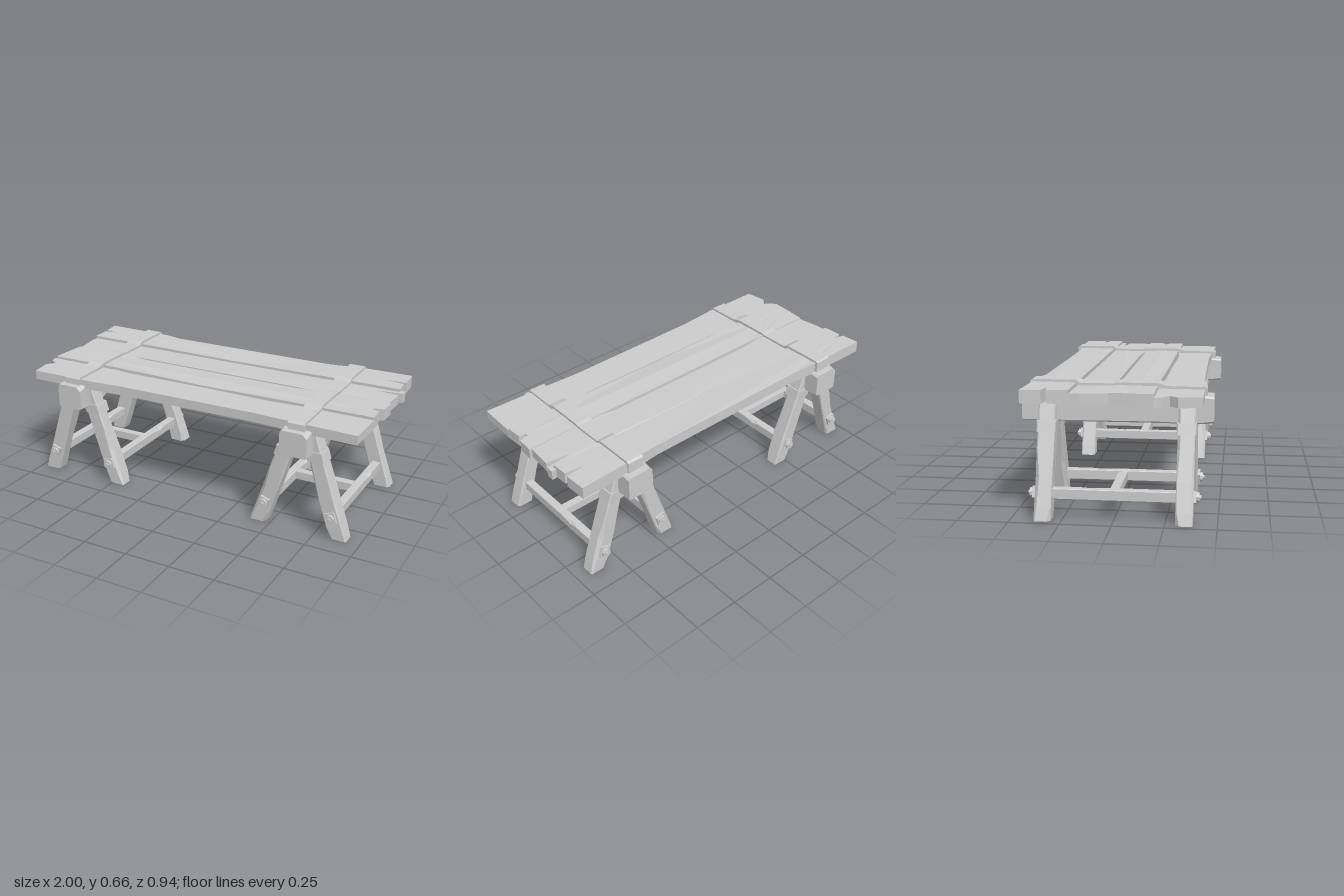
import * as THREE from 'three';

const material = new THREE.MeshStandardMaterial({ color: 0xcccccc, flatShading: true, side: THREE.DoubleSide });

function part(name, geometry, x = 0, y = 0, z = 0) {
  const mesh = new THREE.Mesh(geometry, material);
  mesh.name = name;
  mesh.position.set(x, y, z);
  return mesh;
}

// Hewn timber: rectangular sections [t, u0, u1, v0, v1, corner cuts] joined along t.
// Corner cuts run (u0,v0), (u1,v0), (u1,v1), (u0,v1); place() turns (u, v, t) into x, y, z.
function timber(sections, place) {
  const rings = sections.map(([t, u0, u1, v0, v1, c]) => [
    [u0, v0 + c[0]], [u0 + c[0], v0], [u1 - c[1], v0], [u1, v0 + c[1]],
    [u1, v1 - c[2]], [u1 - c[2], v1], [u0 + c[3], v1], [u0, v1 - c[3]],
  ].map(([u, v]) => place(u, v, t)));
  const pos = [];
  const tri = (a, b, c) => pos.push(...a, ...b, ...c);
  for (let i = 0; i + 1 < rings.length; i++) {
    const a = rings[i], b = rings[i + 1];
    for (let j = 0; j < 8; j++) {
      const k = (j + 1) % 8;
      tri(a[j], a[k], b[k]);
      tri(a[j], b[k], b[j]);
    }
  }
  const first = rings[0], last = rings[rings.length - 1];
  for (let j = 1; j < 7; j++) {
    tri(first[0], first[j + 1], first[j]);
    tri(last[0], last[j], last[j + 1]);
  }
  const g = new THREE.BufferGeometry();
  g.setAttribute('position', new THREE.Float32BufferAttribute(pos, 3));
  g.computeVertexNormals();
  return g;
}

// Board cut from an outline of [x, z] points; its ends curl up slightly
function plank(outline, bottom, top, curl) {
  const shape = new THREE.Shape(outline.map(([x, z]) => new THREE.Vector2(x, -z)));
  const g = new THREE.ExtrudeGeometry(shape, { depth: top - bottom, bevelEnabled: false });
  g.rotateX(-Math.PI / 2);
  g.translate(0, bottom, 0);
  const p = g.attributes.position;
  for (let i = 0; i < p.count; i++) {
    const high = p.getY(i) > (top + bottom) / 2;
    const end = THREE.MathUtils.smoothstep(Math.abs(p.getX(i)), 0.3, 0.65);
    if (high) p.setY(i, p.getY(i) - curl * (1 - end));
  }
  g.computeVertexNormals();
  return g;
}

function createTop() {
  const top = new THREE.Group();
  top.name = 'tableTop';
  const boards = [
    { bottom: 0.58, top: 0.645, curl: 0.012, outline: [
      [-1, -0.43], [-0.6, -0.42], [-0.5, -0.408], [0.5, -0.405], [0.7, -0.425], [0.97, -0.43],
      [0.975, -0.31], [0.86, -0.302], [0.97, -0.285], [0.975, -0.2], [0.55, -0.203], [0, -0.215],
      [-0.5, -0.208], [-0.98, -0.2], [-0.985, -0.305], [-0.91, -0.315], [-0.99, -0.33]] },
    { bottom: 0.578, top: 0.63, curl: 0.006, outline: [
      [-0.98, -0.2], [-0.5, -0.2], [0, -0.202], [0.55, -0.198], [1, -0.22], [1, -0.18], [0.85, -0.165],
      [0.985, -0.15], [0.975, -0.01], [0.55, -0.005], [0.45, -0.018], [-0.5, -0.02], [-0.6, -0.01],
      [-0.96, -0.015], [-0.98, -0.15]] },
    { bottom: 0.572, top: 0.634, curl: 0.01, outline: [
      [-0.965, -0.013], [-0.6, -0.008], [-0.5, 0], [0.45, 0], [0.55, -0.003], [0.99, -0.01], [0.985, 0.08],
      [0.93, 0.092], [0.935, 0.11], [0.97, 0.115], [0.975, 0.205], [0.5, 0.2], [0, 0.197],
      [-0.55, 0.195], [-0.98, 0.2], [-0.975, 0.1]] },
    { bottom: 0.57, top: 0.62, curl: 0, outline: [
      [-0.995, 0.2], [-0.55, 0.202], [-0.45, 0.212], [0.1, 0.212], [0.4, 0.22], [0.6, 0.207], [0.975, 0.207],
      [0.97, 0.425], [0.55, 0.41], [0.4, 0.402], [-0.4, 0.41], [-0.6, 0.425], [-0.96, 0.425],
      [-0.975, 0.31], [-0.94, 0.27], [-0.985, 0.24]] },
  ];
  boards.forEach((b, i) => top.add(part('plank' + (i + 1), plank(b.outline, b.bottom, b.top, b.curl))));

  // Straps step over the uneven boards and fold down at both sides
  const outer = [[0.437, 0.585], [0.435, 0.622], [0.425, 0.631], [0.24, 0.633], [0.2, 0.646], [0, 0.646],
    [-0.02, 0.641], [-0.18, 0.641], [-0.21, 0.656], [-0.425, 0.656], [-0.436, 0.648], [-0.436, 0.585]];
  const inner = [[-0.42, 0.585], [-0.42, 0.63], [-0.21, 0.63], [0.2, 0.61], [0.42, 0.605], [0.42, 0.585]];
  const strapShape = new THREE.Shape([...outer, ...inner].map(([z, y]) => new THREE.Vector2(z, y)));
  for (const x of [-0.695, 0.655]) {
    const g = new THREE.ExtrudeGeometry(strapShape, { depth: 0.092, bevelEnabled: false });
    g.rotateY(-Math.PI / 2);
    g.translate(0.046, 0, 0);
    top.add(part('strap', g, x));
  }
  return top;
}

const SLOPE = 0.325;
const legX = y => 0.227 - SLOPE * y; // leg centre line away from the trestle's middle

function createLeg(sx, sz, variant) {
  const leg = new THREE.Group();
  leg.name = 'leg';
  const zc = 0.342 * sz;
  const lean = (z, x, y) => [x + sx * legX(y), y, z + zc];
  // Chipped corners are dealt out differently to each leg
  const cuts = (...c) => c.map((_, i) => c[(i + variant) % 4]);
  const row = (y, hz, hx, c) => [y, -hz, hz, -hx, hx, c];
  leg.add(part('legPost', timber([
    row(0, 0.041, 0.046, cuts(0.018, 0.006, 0.012, 0.006)),
    row(0.06, 0.042, 0.047, cuts(0.006, 0.006, 0.008, 0.014)),
    row(0.2, 0.042, 0.046, cuts(0.004, 0.01, 0.006, 0.02)),
    row(0.33, 0.042, 0.044, cuts(0.012, 0.006, 0.005, 0.006)),
    row(0.43, 0.042, 0.043, cuts(0.016, 0.008, 0.006, 0.008)),
    row(0.575, 0.042, 0.042, cuts(0.006, 0.006, 0.006, 0.006)),
  ], lean)));

  // Collar under the beam
  const even = [0.006, 0.006, 0.006, 0.006];
  leg.add(part('legCollar', timber([
    row(0.412, 0.047, 0.049, even), row(0.465, 0.048, 0.05, even),
  ], lean)));

  // Bolt through the foot into the rail
  const bolt = new THREE.Group();
  bolt.name = 'bolt';
  bolt.position.set(sx * legX(0.122), 0.122, 0.385 * sz);
  bolt.rotation.z = sx * Math.atan(SLOPE);
  bolt.add(part('boltPlate', new THREE.BoxGeometry(0.054, 0.058, 0.016), 0, 0, 0.004 * sz));
  const head = new THREE.CylinderGeometry(0.024, 0.024, 0.018, 8).rotateX(Math.PI / 2);
  bolt.add(part('boltHead', head, 0, 0, 0.018 * sz));
  const tip = new THREE.CylinderGeometry(0.011, 0.011, 0.012, 8).rotateX(Math.PI / 2);
  bolt.add(part('boltTip', tip, 0, 0, 0.029 * sz));
  leg.add(bolt);
  return leg;
}

function createTrestle(x, variant) {
  const trestle = new THREE.Group();
  trestle.name = 'trestle';
  trestle.position.x = x;

  // Beam, worn away along one lower edge
  const along = (u, v, t) => [u, v, t];
  trestle.add(part('beam', timber([
    [-0.472, -0.074, 0.075, 0.455, 0.59, [0.006, 0.01, 0.012, 0.02]],
    [-0.4, -0.076, 0.076, 0.455, 0.59, [0.006, 0.004, 0.006, 0.006]],
    [-0.22, -0.076, 0.076, 0.455, 0.59, [0.006, 0.004, 0.03, 0.006]],
    [0.2, -0.076, 0.076, 0.455, 0.59, [0.008, 0.032, 0.006, 0.006]],
    [0.27, -0.076, 0.076, 0.455, 0.59, [0.006, 0.004, 0.006, 0.006]],
    [0.41, -0.076, 0.076, 0.455, 0.59, [0.006, 0.004, 0.006, 0.006]],
    [0.47, -0.074, 0.073, 0.457, 0.588, [0.012, 0.006, 0.024, 0.01]],
  ], along)));

  [[-1, 1], [1, 1], [1, -1], [-1, -1]].forEach(([sx, sz], i) =>
    trestle.add(createLeg(sx, sz, i + variant)));

  // Rails along the feet and a tie between them
  for (const sx of [-1, 1]) {
    const rail = timber([
      [-0.31, -0.023, 0.023, 0.095, 0.148, [0.003, 0.003, 0.003, 0.003]],
      [-0.17, -0.023, 0.023, 0.095, 0.148, [0.003, 0.003, 0.003, 0.003]],
      [-0.125, -0.023, 0.023, 0.095, 0.148, [0.003, 0.003, 0.014, 0.003]],
      [-0.06, -0.023, 0.023, 0.095, 0.148, [0.003, 0.003, 0.003, 0.003]],
      [0.31, -0.023, 0.023, 0.095, 0.148, [0.003, 0.003, 0.003, 0.003]],
    ], along);
    trestle.add(part('rail', rail, sx * legX(0.122)));
  }
  trestle.add(part('crossTie', new THREE.BoxGeometry(2 * legX(0.122), 0.044, 0.046), 0, 0.122, 0));
  return trestle;
}

export function createModel() {
  const model = new THREE.Group();
  model.name = 'trestleTable';
  model.add(createTop(), createTrestle(-0.697, 0), createTrestle(0.655, 2));
  return model;
}
